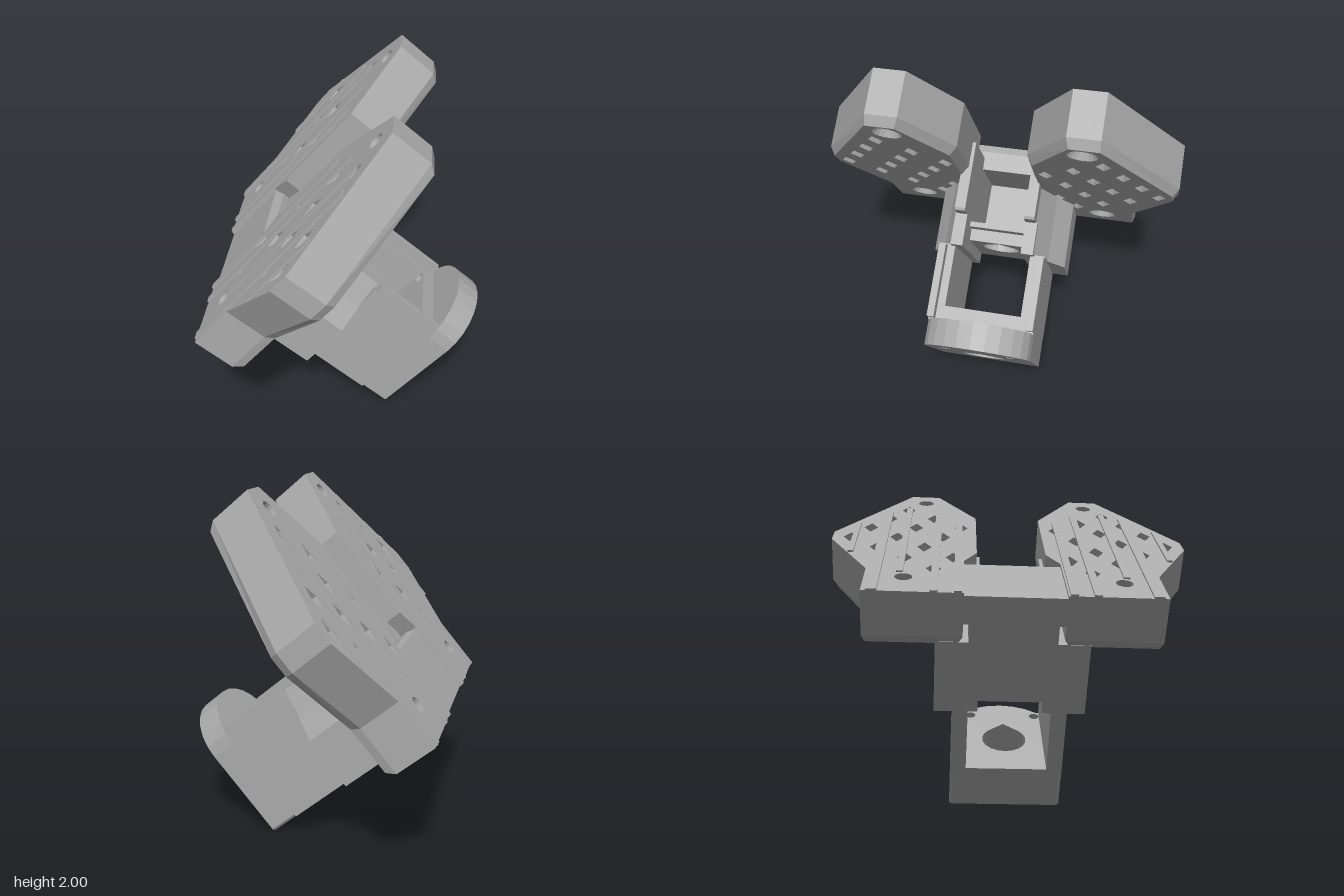
import * as THREE from 'three';

const grey = new THREE.MeshStandardMaterial({ color: 0xaaaaaa });
grey.name = 'grey plastic';

// Local frame: X runs along the arm, Y up the plates, Z across. Points are [z, y].
const vec = (pts) => pts.map(([z, y]) => new THREE.Vector2(-z, y));

function slab(pts, x0, x1, holes = [], steps = 1) {
  const outer = vec(pts);
  // outline runs anticlockwise so that the hole walls face inwards
  if (THREE.ShapeUtils.isClockWise(outer)) outer.reverse();
  const shape = new THREE.Shape(outer);
  holes.forEach((h) => shape.holes.push(new THREE.Path(vec(h))));
  return new THREE.ExtrudeGeometry(shape, { depth: x1 - x0, steps, bevelEnabled: false })
    .rotateY(Math.PI / 2).translate(x0, 0, 0);
}

function add(parent, name, geo) {
  const m = new THREE.Mesh(geo, grey);
  m.name = name;
  parent.add(m);
}

function box(parent, name, x0, x1, y0, y1, z0, z1) {
  const g = new THREE.BoxGeometry(x1 - x0, y1 - y0, Math.abs(z1 - z0));
  add(parent, name, g.translate((x0 + x1) / 2, (y0 + y1) / 2, (z0 + z1) / 2));
}

const circle = (z, y, r, n = 16) => Array.from({ length: n }, (_, i) => {
  const a = (i / n) * Math.PI * 2;
  return [z + r * Math.cos(a), y + r * Math.sin(a)];
});

// Round bore with a pointed top
function teardrop(y, r) {
  const pts = [[0, y + r * 1.32]];
  for (let i = 0; i <= 14; i++) {
    const a = (Math.PI * 3 / 4) + (i / 14) * Math.PI * 1.5;
    pts.push([r * Math.cos(a), y + r * Math.sin(a)]);
  }
  return pts;
}

function inside([px, py], poly) {
  let hit = false;
  for (let i = 0, j = poly.length - 1; i < poly.length; j = i++) {
    const [ax, ay] = poly[i], [bx, by] = poly[j];
    if ((ay > py) !== (by > py) && px < ((bx - ax) * (py - ay)) / (by - ay) + ax) hit = !hit;
  }
  return hit;
}

const OUTLINE = [[0.26, -0.02], [0.77, -0.02], [0.77, 0.27], [1, 0.7], [1, 0.82],
  [0.59, 1.54], [0.42, 1.54], [0.19, 1.14], [0.19, 0.55], [0.26, 0.42]];
const SCREWS = [[0.5, 1.41], [0.57, 0.17]];
const THICK = 0.295, SINK = 0.08;

// Wing plate with a lattice of diamond openings, screw holes and a bevelled front
function wingGeometry(s) {
  const flip = (pts) => pts.map(([z, y]) => [z * s, y]);
  const inset = ([z, y]) => [0.6 + (z - 0.6) * 0.92, 0.75 + (y - 0.75) * 0.955];
  const face = OUTLINE.map(inset);
  const diamond = (z, y, k) => [[z + 0.04 * k, y], [z, y + 0.073 * k], [z - 0.04 * k, y], [z, y - 0.073 * k]];
  const holes = SCREWS.map(([z, y]) => circle(z, y, SINK));
  for (let i = -8; i <= 12; i++) {
    for (let j = -8; j <= 12; j++) {
      const z = 0.9 - 0.1 * i - 0.16 * j, y = 0.745 + 0.17 * i - 0.15 * j;
      const clear = SCREWS.every(([a, b]) => Math.hypot(z - a, y - b) > 0.155);
      if (clear && diamond(z, y, 1.12).every((p) => inside(p, face))) holes.push(diamond(z, y, 1));
    }
  }
  const g = slab(flip(OUTLINE), 0, THICK, holes.map(flip), 2);
  const p = g.attributes.position;
  for (let i = 0; i < p.count; i++) {
    const front = p.getX(i) > THICK - 0.01;
    let z = p.getZ(i) * s, y = p.getY(i);
    if (front) {
      if (OUTLINE.some(([a, b]) => Math.hypot(a - z, b - y) < 1e-4)) [z, y] = inset([z, y]);
    } else {
      // screw bores narrow behind the countersink
      for (const [a, b] of SCREWS) {
        if (Math.abs(Math.hypot(z - a, y - b) - SINK) < 1e-4) {
          z = a + (z - a) * 0.58;
          y = b + (y - b) * 0.58;
        }
      }
      if (p.getX(i) > 0.01) p.setX(i, THICK - 0.05);
    }
    p.setY(i, y);
    p.setZ(i, z * s);
  }
  g.computeVertexNormals();
  return g;
}

// Flat ribs on the back of each wing: [z from, z to, y from, y to]
const RIBS = [[0.27, 0.31, -0.02, 1.1], [0.39, 0.43, -0.02, 1.22], [0.575, 0.61, 0.23, 1.28],
  [0.69, 0.745, -0.02, 1.2], [0.86, 0.89, 0.5, 0.98]];

export function createModel() {
  const model = new THREE.Group();
  model.name = 'bracket';
  const body = new THREE.Group();
  body.name = 'tiltedBody';
  body.rotation.z = -THREE.MathUtils.degToRad(40);
  body.position.set(-0.75, 0.817, 0);
  model.add(body);

  for (const s of [1, -1]) {
    const side = s > 0 ? 'left' : 'right';
    add(body, side + 'Wing', wingGeometry(s));
    RIBS.forEach(([z0, z1, y0, y1]) => box(body, side + 'WingRib', -0.01, 0.005, y0, y1, s * z0, s * z1));

    // Wide shoulder beside the rear pocket
    const shoulder = [[0.17, 0], [0.4, 0], [0.4, 0.32], [0.31, 0.46], [0.23, 0.64], [0.17, 0.64]];
    add(body, side + 'Shoulder', slab(shoulder.map(([z, y]) => [z * s, y]), 0.28, 0.685));
    const cheek = new THREE.Shape([[0.1, 0], [0.505, 0], [0.505, 0.74], [0.49, 0.75], [0.1, 0.75]]
      .map(([x, y]) => new THREE.Vector2(x, y)));
    add(body, side + 'Cheek', new THREE.ExtrudeGeometry(cheek, { depth: 0.06, bevelEnabled: false })
      .translate(0, 0, s * 0.2 - 0.03));
    box(body, side + 'CheekStep', 0.5, 0.69, 0.5, 0.655, s * 0.17, s * 0.24);

    // Narrow arm wall with its raised rail
    box(body, side + 'ArmWall', 0.68, 1.1, 0, 0.6, s * 0.22, s * 0.305);
    box(body, side + 'Rail', 0.69, 1.115, 0.59, 0.655, s * 0.265, s * 0.305);
  }

  // Spine joining the wings, with a sloped top edge
  const spine = new THREE.Shape([[0.015, -0.02], [0.17, -0.02], [0.17, 0.42], [0.06, 0.43], [0.015, 0.41]]
    .map(([x, y]) => new THREE.Vector2(x, y)));
  add(body, 'spine', new THREE.ExtrudeGeometry(spine, { depth: 0.54, bevelEnabled: false }).translate(0, 0, -0.27));
  box(body, 'pocketFloor', 0.16, 0.53, 0, 0.03, -0.18, 0.18);

  // Stepped cross wall with the rear bore
  const wall = (top) => [[-0.23, 0], [0.23, 0], [0.23, top], [-0.23, top]];
  add(body, 'crossWall', slab(wall(0.53), 0.52, 0.55, [teardrop(0.3, 0.11)]));
  add(body, 'crossWallLedge', slab(wall(0.46), 0.545, 0.62, [teardrop(0.3, 0.11)]));

  // End wall: thick lower block and thinner arched lip
  const pins = [1, -1].map((s) => circle(s * 0.19, 0.56, 0.03, 10));
  const bore = teardrop(0.3, 0.125);
  const block = [[-0.305, 0.015], [-0.29, 0], [0.29, 0], [0.305, 0.015], [0.305, 0.6], [-0.305, 0.6]];
  add(body, 'endWall', slab(block, 1.04, 1.13, [bore, ...pins]));
  const arch = block.slice(0, 4);
  for (let i = 0; i <= 12; i++) {
    const a = (i / 12) * Math.PI;
    arch.push([0.305 * Math.cos(a), 0.56 + 0.265 * Math.sin(a)]);
  }
  add(body, 'archedLip', slab(arch, 1.125, 1.275, [bore, ...pins]));

  return model;
}
